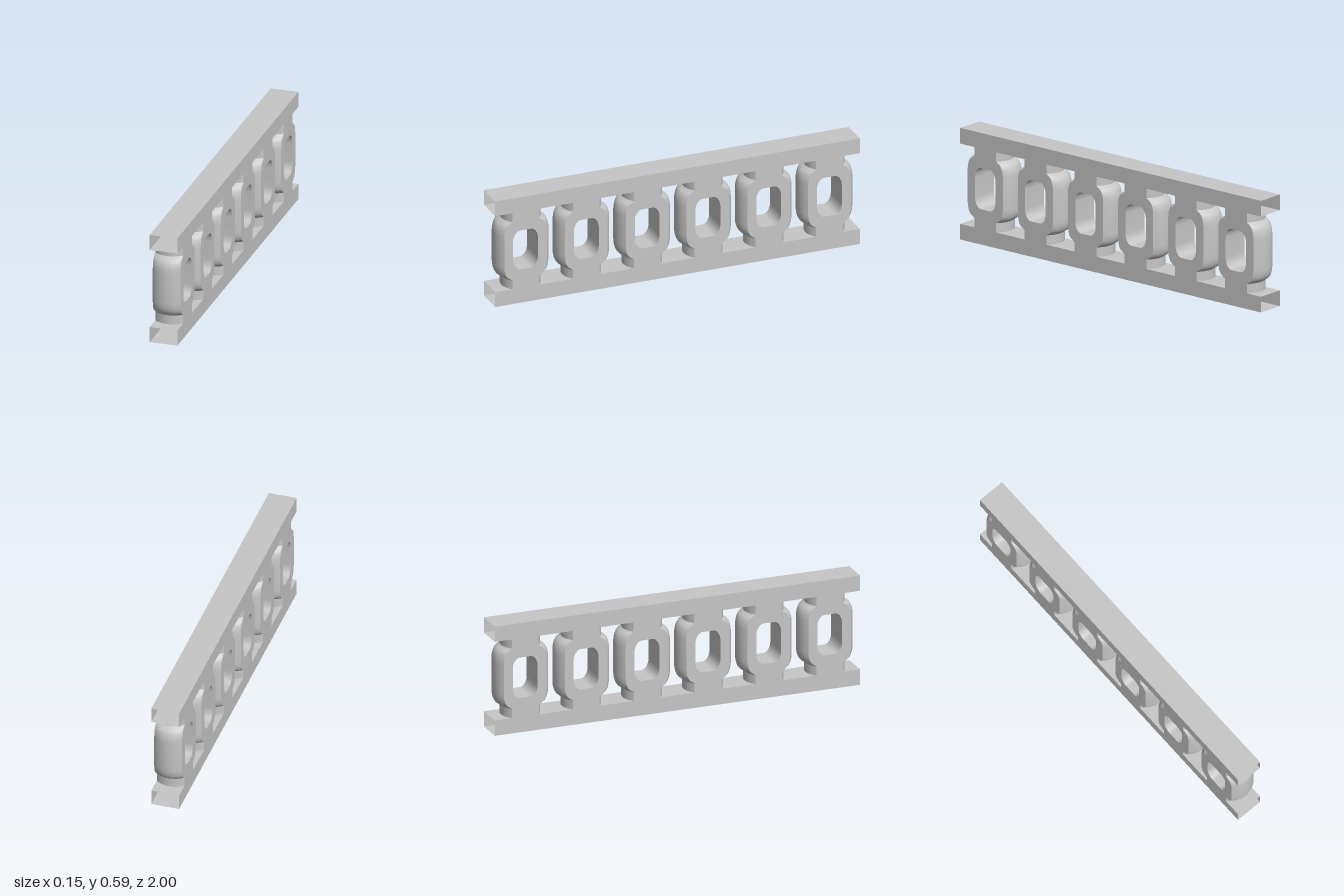
import * as THREE from 'three';
import { toCreasedNormals } from 'three/addons/utils/BufferGeometryUtils.js';

const WIDTH = 0.148, HEIGHT = 0.591, RAIL = 0.083;
const COUNT = 6, PITCH = 1 / 3;
const ARC = 0.106; // radius of the rounded front and back of each baluster

// Outline of the flat baluster side, centred on the origin
function balusterShape() {
  const shoulder = new THREE.QuadraticBezierCurve(
    new THREE.Vector2(0.09, 0.151), new THREE.Vector2(0.114, 0.138), new THREE.Vector2(0.117, 0.085));
  const quarter = [
    new THREE.Vector2(0.073, HEIGHT / 2 - RAIL),
    new THREE.Vector2(0.073, 0.163),
    ...shoulder.getPoints(10),
  ];
  const right = [
    ...quarter.map((p) => new THREE.Vector2(p.x, -p.y)),
    ...quarter.slice().reverse(),
  ];
  const left = right.map((p) => new THREE.Vector2(-p.x, -p.y));
  const shape = new THREE.Shape([...right, ...left]);

  // Rounded opening
  const w = 0.068, h = 0.109, rx = 0.04, ry = 0.058;
  const hole = new THREE.Path();
  [[1, 1], [-1, 1], [-1, -1], [1, -1]].forEach(([sx, sy], i) => {
    hole.absellipse(sx * (w - rx), sy * (h - ry), rx, ry, i * Math.PI / 2, (i + 1) * Math.PI / 2, false, 0);
  });
  hole.closePath();
  shape.holes.push(hole);
  return shape;
}

// Extrude across the rail, then bulge only the outer edge into an arc
function balusterGeometry() {
  const geo = new THREE.ExtrudeGeometry(balusterShape(), {
    depth: WIDTH, steps: 14, curveSegments: 10, bevelEnabled: false,
  });
  geo.translate(0, 0, -WIDTH / 2);
  const pos = geo.attributes.position;
  const rim = Math.sqrt(ARC ** 2 - (WIDTH / 2) ** 2);
  for (let i = 0; i < pos.count; i++) {
    const x = pos.getX(i), d = pos.getZ(i);
    if (Math.abs(x) < 0.0705) continue; // opening stays straight
    const bulge = Math.sqrt(Math.max(ARC ** 2 - d ** 2, 0)) - rim;
    pos.setX(i, x + Math.sign(x) * bulge);
  }
  geo.rotateY(-Math.PI / 2);
  return toCreasedNormals(geo, 0.45);
}

// Hollow rail: a box without its two end faces
function railGeometry() {
  const geo = new THREE.BoxGeometry(WIDTH, RAIL, 2);
  geo.setIndex(Array.from(geo.index.array).slice(0, 24));
  geo.clearGroups();
  return geo;
}

export function createModel() {
  const model = new THREE.Group();
  model.name = 'balustrade';
  const stone = new THREE.MeshStandardMaterial({ color: 0xc6c6c6, side: THREE.DoubleSide });
  stone.name = 'light grey stone';

  const add = (name, geo, y, z) => {
    const mesh = new THREE.Mesh(geo, stone);
    mesh.name = name;
    mesh.position.set(0, y, z);
    model.add(mesh);
  };

  // Rails
  const rail = railGeometry();
  add('bottomRail', rail, RAIL / 2, 0);
  add('topRail', rail, HEIGHT - RAIL / 2, 0);

  // Row of balusters
  const baluster = balusterGeometry();
  for (let i = 0; i < COUNT; i++) {
    add(`baluster${i + 1}`, baluster, HEIGHT / 2, ((COUNT - 1) / 2 - i) * PITCH);
  }
  return model;
}
